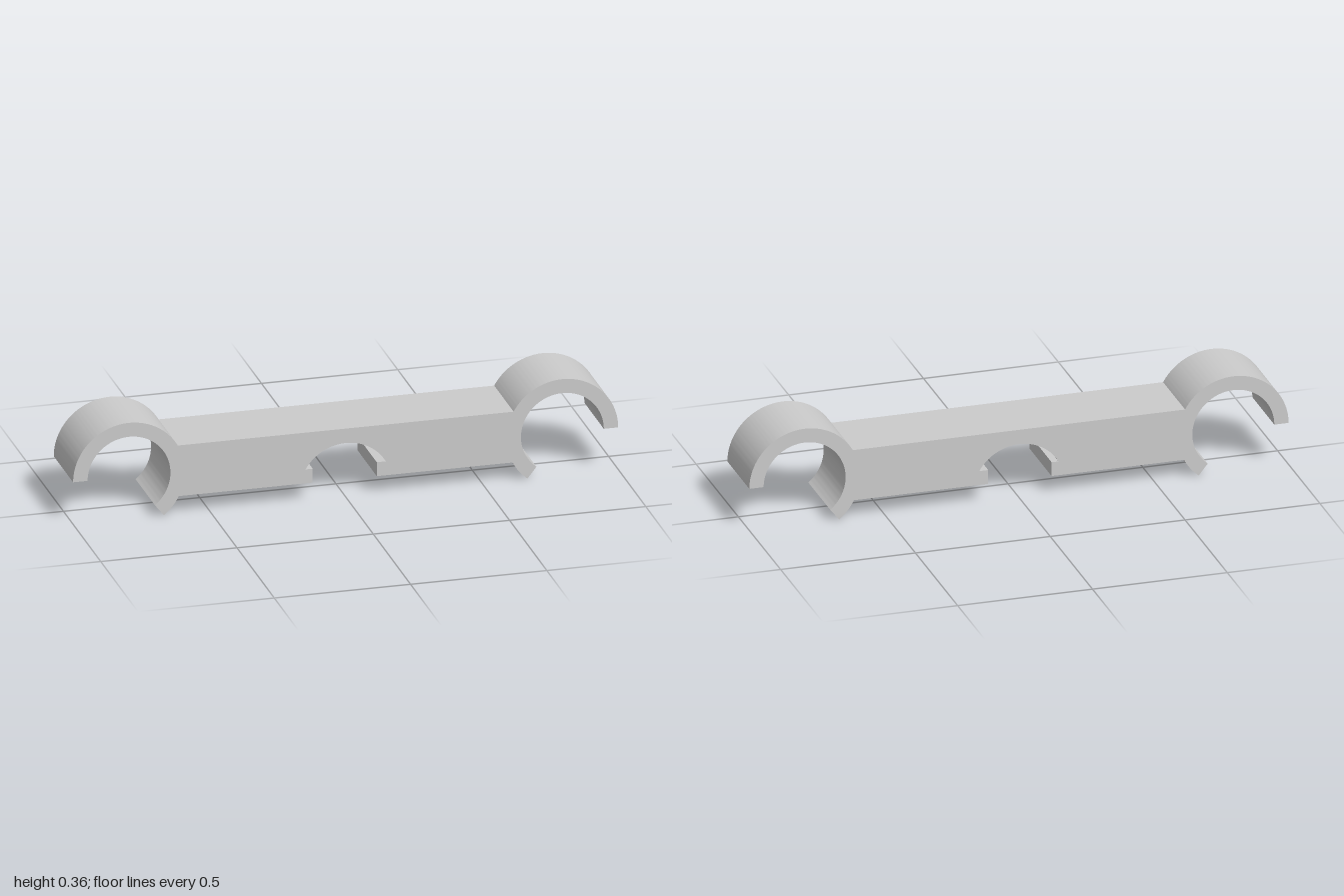
import * as THREE from 'three';
import { toCreasedNormals } from 'three/addons/utils/BufferGeometryUtils.js';

const DEPTH = 0.26;
// Clip rings at both ends
const CX = 0.795, CY = 0.16, R = 0.205, r = 0.152;
// Connecting bar
const TOP = 0.26, BOTTOM = 0.067;
// Central notch
const NOTCH_R = 0.17, NOTCH_Y = 0.035, STEP_Y = 0.12;

export function createModel() {
  const PI = Math.PI;
  const aTop = Math.asin((TOP - CY) / R);    // bar top meets the ring
  const aBot = Math.asin((CY - BOTTOM) / R); // bar underside meets the ring
  const aTip = Math.asin(CY / R);            // lower lip touches the ground
  const aNotch = Math.asin((STEP_Y - NOTCH_Y) / NOTCH_R);

  const s = new THREE.Shape();
  // left ring, over the top, then along the bar to the right ring
  s.moveTo(-CX - R, CY);
  s.absarc(-CX, CY, R, PI, aTop, true);
  s.absarc(CX, CY, R, PI - aTop, 0, true);
  // right ring bore and lower lip
  s.absarc(CX, CY, r, 0, PI + aTip, false);
  s.absarc(CX, CY, R, PI + aTip, PI + aBot, true);
  // underside with the undercut round notch
  s.lineTo(0.114, BOTTOM);
  s.lineTo(0.114, STEP_Y);
  s.absarc(0, NOTCH_Y, NOTCH_R, aNotch, PI - aNotch, false);
  s.lineTo(-0.121, STEP_Y);
  s.lineTo(-0.121, BOTTOM);
  // left lower lip and bore
  s.absarc(-CX, CY, R, -aBot, -aTip, true);
  s.absarc(-CX, CY, r, -aTip, PI, false);
  s.closePath();

  const geometry = new THREE.ExtrudeGeometry(s, { depth: DEPTH, bevelEnabled: false, curveSegments: 40 });
  geometry.translate(0, 0, -DEPTH / 2);

  const body = new THREE.Mesh(
    toCreasedNormals(geometry, 0.4),
    new THREE.MeshStandardMaterial({ color: 0xcccccc })
  );
  body.name = 'doubleClipBar';

  const group = new THREE.Group();
  group.name = 'clipBracket';
  group.add(body);
  return group;
}
